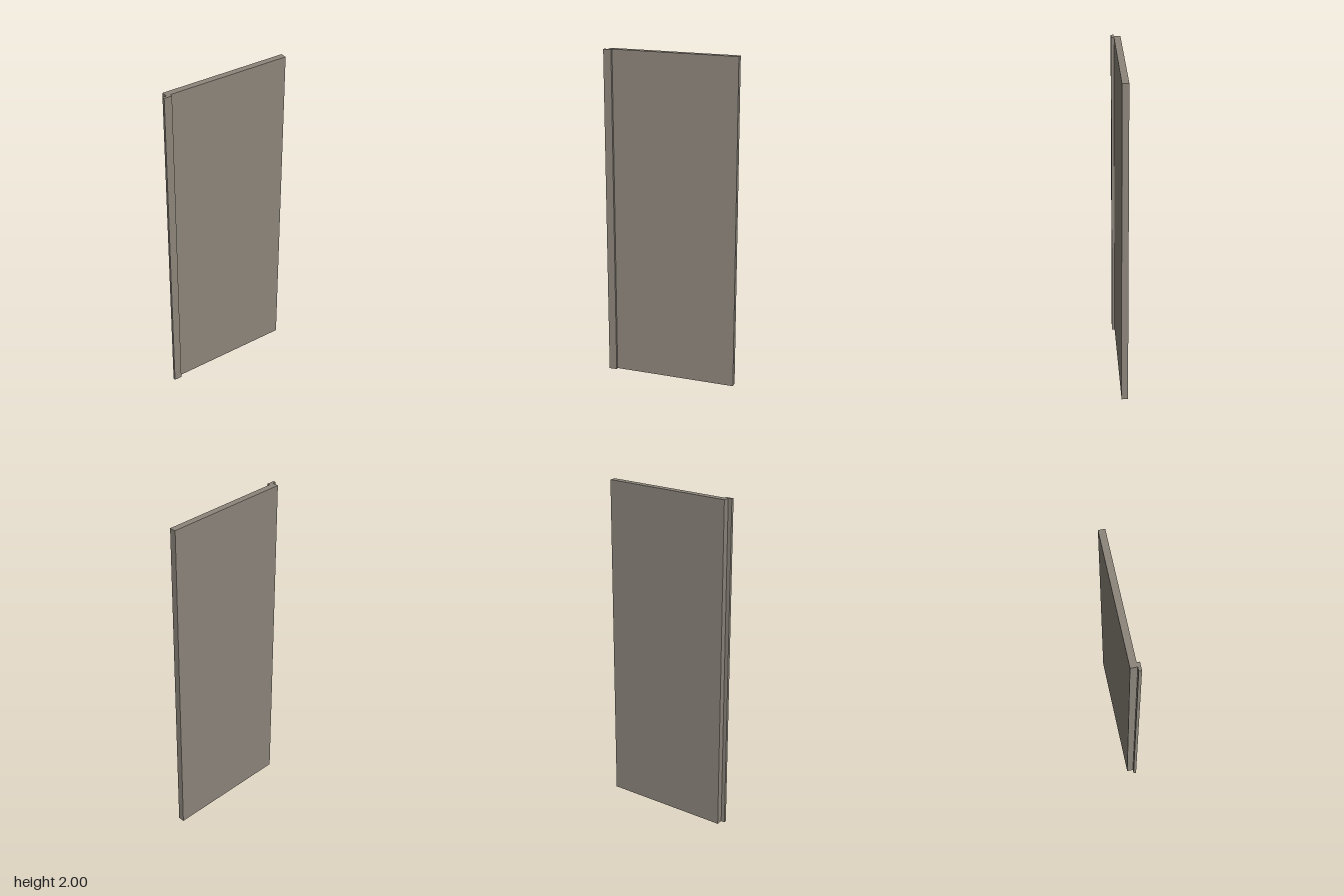
import * as THREE from 'three';

export function createModel() {
  const model = new THREE.Group();
  model.name = 'doorLeaf';
  const taupe = new THREE.MeshStandardMaterial({ color: 0x8c857b });
  taupe.name = 'taupe';

  // Extrudes an x/y outline between two depths
  const slab = (name, outline, back, front) => {
    const shape = new THREE.Shape(outline.map(([x, y]) => new THREE.Vector2(x, y)));
    const geometry = new THREE.ExtrudeGeometry(shape, { depth: front - back, bevelEnabled: false });
    geometry.translate(0, 0, back);
    const mesh = new THREE.Mesh(geometry, taupe);
    mesh.name = name;
    model.add(mesh);
  };

  // Main leaf, its free edge leaning in very slightly towards the top
  slab('panel', [[-0.375, 0], [0.398, 0], [0.394, 2], [-0.375, 2]], -0.0275, 0.0108);

  // Narrow cover strip overlapping the front of the other edge
  slab('coverStrip', [[-0.398, 0], [-0.351, 0], [-0.351, 2], [-0.398, 2]], 0.0108, 0.0275);

  return model;
}
